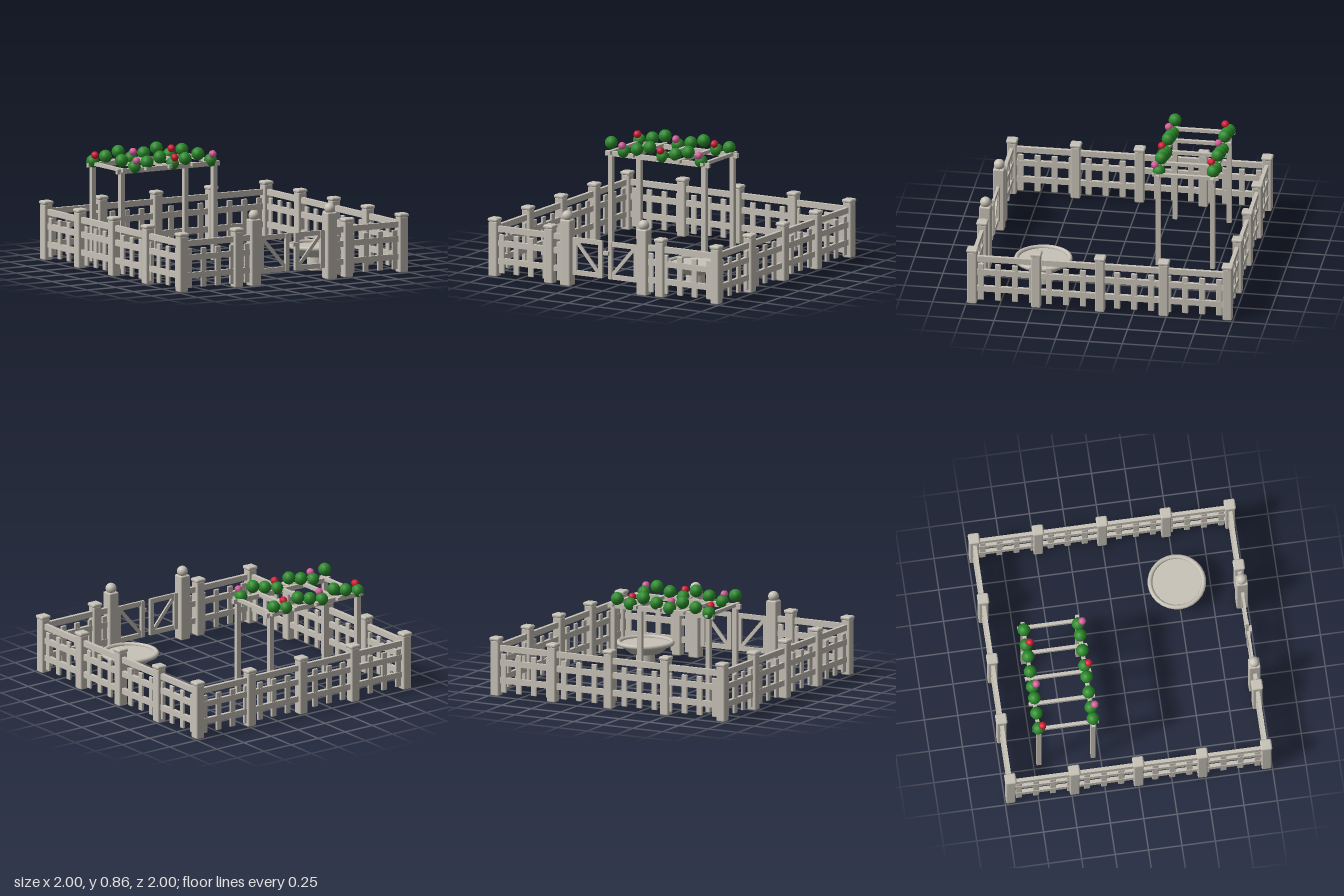
import * as THREE from 'three';
import { RoundedBoxGeometry } from 'three/addons/geometries/RoundedBoxGeometry.js';

const mat = (name, hex) => {
  const m = new THREE.MeshStandardMaterial({ color: hex });
  m.name = name;
  return m;
};

export function createModel() {
  const stone = mat('warm grey stone', 0xc8c3b8);
  const leaf = mat('leaf green', 0x2a8a2a);
  const red = mat('red blossom', 0xd81c38);
  const pink = mat('pink blossom', 0xd8609c);

  const model = new THREE.Group();
  model.name = 'fencedGarden';

  const group = (name, parent = model) => {
    const g = new THREE.Group();
    g.name = name;
    parent.add(g);
    return g;
  };
  const add = (parent, name, geo, x, y, z, material = stone) => {
    const m = new THREE.Mesh(geo, material);
    m.name = name;
    m.position.set(x, y, z);
    parent.add(m);
    return m;
  };
  const box = (parent, name, w, h, d, x, y, z) =>
    add(parent, name, new THREE.BoxGeometry(w, h, d), x, y, z);

  const E = 0.957; // half distance between opposite fence lines
  const postGeo = new RoundedBoxGeometry(0.072, 0.42, 0.072, 1, 0.01);
  const capGeo = new RoundedBoxGeometry(0.086, 0.03, 0.086, 1, 0.013);
  const picketGeo = new RoundedBoxGeometry(0.045, 0.295, 0.02, 1, 0.005);

  // Fence run along its local x axis: rails and evenly spaced pickets
  function fenceRun(parent, x0, x1, pickets) {
    const len = x1 - x0;
    for (const y of [0.362, 0.254, 0.12])
      box(parent, 'rail', len, 0.044, 0.028, (x0 + x1) / 2, y, 0);
    for (let i = 0; i < pickets; i++)
      add(parent, 'picket', picketGeo, x0 + (len * (i + 0.5)) / pickets, 0.174, 0);
  }
  function post(parent, x) {
    add(parent, 'fencePost', postGeo, x, 0.211, 0);
    add(parent, 'postCap', capGeo, x, 0.43, 0);
  }

  // Right, back and left sides; each carries one of its corner posts
  ['leftFence', 'backFence', 'rightFence'].forEach((name, k) => {
    const side = group(name);
    side.rotation.y = ((k + 1) * Math.PI) / 2;
    side.position.set([E, 0, -E][k], 0, [0, -E, 0][k]);
    fenceRun(side, -E, E, 15);
    for (let i = 0; i < 4; i++) post(side, -E + (i * E) / 2);
  });

  // Front side with gate pillars and two gate leaves
  const front = group('frontFence');
  front.position.z = E;
  post(front, -E);
  const pillarGeo = new RoundedBoxGeometry(0.086, 0.5, 0.086, 1, 0.01);
  const ballGeo = new THREE.SphereGeometry(0.041, 16, 12);
  for (const s of [-1, 1]) {
    fenceRun(front, s < 0 ? -E : 0.33, s < 0 ? -0.33 : E, 5);
    post(front, s * 0.478);
    add(front, 'gatePillar', pillarGeo, s * 0.33, 0.25, 0);
    add(front, 'pillarBall', ballGeo, s * 0.33, 0.526, 0);

    const gate = group(s < 0 ? 'rightGateLeaf' : 'leftGateLeaf', front);
    gate.position.x = s * 0.153;
    for (const e of [-1, 1])
      box(gate, 'gateStile', 0.034, 0.28, 0.024, e * 0.111, 0.228, 0);
    for (const y of [0.352, 0.104])
      box(gate, 'gateRail', 0.25, 0.036, 0.018, 0, y, 0);
    const brace = box(gate, 'gateBrace', 0.29, 0.026, 0.014, 0, 0.228, 0);
    brace.rotation.z = s * Math.atan2(0.22, 0.19);
  }
  box(front, 'gateLatch', 0.046, 0.03, 0.024, 0.018, 0.284, 0.02);

  // Pergola frame
  const pergola = group('pergola');
  const rows = [
    { z: -0.71, heights: [0.75, 0.778, 0.806], bloom: 0, colors: [red, pink] },
    { z: -0.303, heights: [0.806, 0.75, 0.778], bloom: 1, colors: [pink, red] },
  ];
  for (const { z } of rows) {
    for (const x of [-0.705, 0.1])
      box(pergola, 'pergolaPost', 0.036, 0.72, 0.036, x, 0.36, z);
    box(pergola, 'pergolaBeam', 0.895, 0.036, 0.028, -0.303, 0.724, z);
  }
  for (let i = 0; i < 5; i++)
    box(pergola, 'crossSlat', 0.026, 0.026, 0.496, -0.705 + i * 0.2013, 0.734, -0.507);

  // Leaf clumps along both beams, with a blossom on every third
  const clumpGeo = new THREE.SphereGeometry(0.049, 10, 8);
  const bloomGeo = new THREE.SphereGeometry(0.03, 8, 6);
  for (const { z, heights, bloom, colors } of rows) {
    for (let i = 0; i < 8; i++) {
      const x = -0.705 + i * 0.1107;
      add(pergola, 'leafClump', clumpGeo, x, heights[i % 3], z, leaf);
      if (i % 3 === bloom)
        add(pergola, 'blossom', bloomGeo, x, 0.798, z + 0.03, colors[Math.floor(i / 3) % 2]);
    }
  }

  // Round basin on a short pedestal
  const basin = group('basin');
  basin.position.set(0.5, 0, 0.497);
  add(basin, 'pedestal', new THREE.CylinderGeometry(0.068, 0.076, 0.11, 20), 0, 0.055, 0);
  add(basin, 'bowl', new THREE.CylinderGeometry(0.2, 0.12, 0.07, 28), 0, 0.14, 0);
  const rim = add(basin, 'basinRim', new THREE.TorusGeometry(0.2, 0.018, 8, 28), 0, 0.178, 0);
  rim.rotation.x = Math.PI / 2;

  return model;
}
